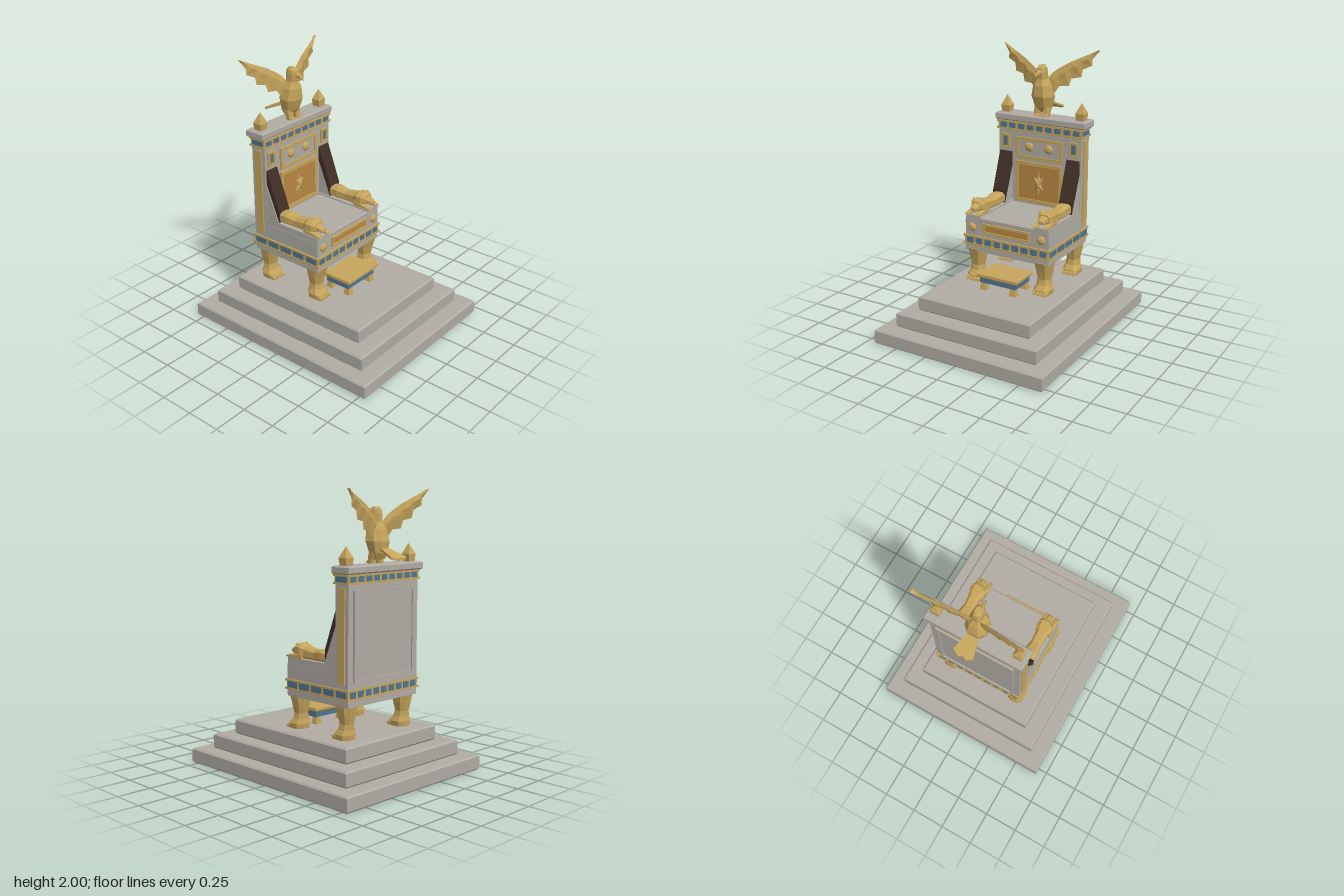
import * as THREE from 'three';

const mat = (name, color) => Object.assign(new THREE.MeshStandardMaterial({ color }), { name });

export function createModel() {
  const root = new THREE.Group();
  root.name = 'throne';
  const stone = mat('stone', 0xb0aca4), gold = mat('gold', 0xc6a55c), blue = mat('blue enamel', 0x4f7590),
    copper = mat('copper', 0xb98744), wood = mat('dark wood', 0x402f26);

  const add = (name, geo, material, parent = root) => {
    const m = new THREE.Mesh(geo, material);
    m.name = name;
    parent.add(m);
    return m;
  };
  const group = (name) => {
    const g = new THREE.Group();
    g.name = name;
    root.add(g);
    return g;
  };
  // Box given by its limits on each axis
  const box = (name, m, x0, x1, y0, y1, z0, z1, parent = root) => {
    const g = new THREE.BoxGeometry(x1 - x0, y1 - y0, z1 - z0);
    g.translate((x0 + x1) / 2, (y0 + y1) / 2, (z0 + z1) / 2);
    return add(name, g, m, parent);
  };
  // Closed faceted skin through rings of points; turned outward by its signed volume
  const loft = (rings) => {
    const n = rings[0].length, idx = [], pts = rings.flat().map((p) => new THREE.Vector3(...p));
    for (let i = 0; i < rings.length - 1; i++) for (let j = 0; j < n; j++) {
      const a = i * n + j, b = i * n + (j + 1) % n;
      idx.push([a, b + n, b], [a, a + n, b + n]);
    }
    const top = (rings.length - 1) * n;
    for (let j = 1; j < n - 1; j++) idx.push([0, j, j + 1], [top, top + j + 1, top + j]);
    let vol = 0;
    for (const [a, b, c] of idx) vol += pts[a].dot(new THREE.Vector3().crossVectors(pts[b], pts[c]));
    const g = new THREE.BufferGeometry().setFromPoints(pts);
    g.setIndex(idx.flatMap(([a, b, c]) => (vol < 0 ? [a, c, b] : [a, b, c])));
    const flat = g.toNonIndexed();
    flat.computeVertexNormals();
    return flat;
  };
  const rectY = (y, hx, hz, cx = 0, cz = 0) =>
    [[cx + hx, y, cz + hz], [cx - hx, y, cz + hz], [cx - hx, y, cz - hz], [cx + hx, y, cz - hz]];
  const octY = (y, hx, hz, cx = 0, cz = 0, k = 0.55) =>
    [[1, k], [k, 1], [-k, 1], [-1, k], [-1, -k], [-k, -1], [k, -1], [1, -k]].map(([a, b]) => [cx + a * hx, y, cz + b * hz]);
  const octZ = (z, hx, y0, y1, cx) => octY(0, hx, (y1 - y0) / 2, cx, (y0 + y1) / 2).map(([x, , y]) => [x, y, z]);
  // Slab with chamfered top and bottom edges
  const slab = (name, m, hx, hz, y0, y1, c, cz = 0, parent = root) =>
    add(name, loft([rectY(y0, hx - c, hz - c, 0, cz), rectY(y0 + c, hx, hz, 0, cz),
      rectY(y1 - c, hx, hz, 0, cz), rectY(y1, hx - c, hz - c, 0, cz)]), m, parent);
  // Framed panel facing +z
  const panel = (name, x0, x1, y0, y1, z, t, inner, rim = gold, d = 0.012) => {
    const g = group(name);
    box('panelFill', inner, x0 + t, x1 - t, y0 + t, y1 - t, z - 0.005, z + 0.003, g);
    box('panelBottom', rim, x0, x1, y0, y0 + t, z - 0.005, z + d, g);
    box('panelTop', rim, x0, x1, y1 - t, y1, z - 0.005, z + d, g);
    box('panelLeft', rim, x1 - t, x1, y0 + t, y1 - t, z - 0.005, z + d, g);
    box('panelRight', rim, x0, x0 + t, y0 + t, y1 - t, z - 0.005, z + d, g);
    return g;
  };
  const cone = (name, r, h, x, y, z, parent, sides = 5) => {
    const g = new THREE.ConeGeometry(r, h, sides).toNonIndexed();
    g.rotateX(Math.PI / 2 + 0.4);
    g.computeVertexNormals();
    g.translate(x, y, z);
    return add(name, g, gold, parent);
  };
  const dome = (x, y, z, r) => {
    const g = new THREE.SphereGeometry(r, 10, 4, 0, Math.PI * 2, 0, Math.PI / 2).toNonIndexed();
    g.rotateX(Math.PI / 2);
    g.scale(1, 1, 0.6);
    g.computeVertexNormals();
    g.translate(x, y, z);
    add('stud', g, gold);
  };

  // Stepped dais
  [[0.68, 0.8], [0.57, 0.685], [0.455, 0.57]].forEach(([hx, hz], i) =>
    slab('daisStep', stone, hx, hz, i * 0.11, (i + 1) * 0.11, 0.011));

  // Seat body, seat slab and backrest
  box('seatBase', stone, -0.345, 0.345, 0.56, 0.79, -0.48, 0.115);
  slab('seatSlab', stone, 0.228, 0.235, 0.785, 0.825, 0.008, -0.12);
  box('backrest', stone, -0.345, 0.345, 0.56, 1.45, -0.48, -0.36);
  slab('backrestCap', stone, 0.372, 0.078, 1.445, 1.5, 0.009, -0.428);

  // Enamel bands: gold core, rails, and thin blue plates on all four sides
  const band = (name, y0, y1, z0, z1, sideCount) => {
    const g = group(name), zc = (z0 + z1) / 2, zl = z1 - z0, r = 0.014;
    box('bandCore', gold, -0.349, 0.349, y0, y1, z0, z1, g);
    for (const y of [y0, y1 - r]) box('bandRail', gold, -0.357, 0.357, y, y + r, z0 - 0.008, z1 + 0.008, g);
    for (let i = 0; i < 9; i++) {
      const x = (i - 4) * 0.076;
      for (const z of [z0, z1]) box('bandPlate', blue, x - 0.026, x + 0.026, y0 + r, y1 - r, z - 0.004, z + 0.004, g);
    }
    const p = zl / sideCount;
    for (let i = 0; i < sideCount; i++) {
      const z = zc + (i - (sideCount - 1) / 2) * p;
      for (const x of [-0.349, 0.349]) box('bandPlate', blue, x - 0.004, x + 0.004, y0 + r, y1 - r, z - p / 2 + 0.012, z + p / 2 - 0.012, g);
    }
  };
  band('lowerBand', 0.608, 0.682, -0.482, 0.12, 5);
  band('upperBand', 1.378, 1.445, -0.483, -0.357, 1);

  // Front panels
  panel('upperPanel', -0.195, 0.195, 1.175, 1.335, -0.358, 0.022, stone);
  panel('starPanel', -0.197, 0.197, 0.835, 1.15, -0.358, 0.026, copper);
  panel('seatPanel', -0.195, 0.195, 0.712, 0.788, 0.116, 0.015, copper);
  for (const s of [-1, 1]) {
    panel('sidePanel', s * 0.285 - 0.037, s * 0.285 + 0.037, 1.235, 1.345, -0.358, 0.017, blue);
    dome(s * 0.082, 1.265, -0.356, 0.036);
    dome(s * 0.285, 0.745, 0.116, 0.033);
  }
  // Faceted star with a raised centre
  const rim = Array.from({ length: 12 }, (_, i) => {
    const a = i * Math.PI / 6, r = i % 2 ? 0.45 : 1;
    return [Math.sin(a) * r * 0.052, 0.988 + Math.cos(a) * r * 0.115];
  });
  add('star', loft([rim.map(([x, y]) => [x, y, -0.357]), rim.map(([x, y]) => [x * 0.05, 0.988 + (y - 0.988) * 0.05, -0.335])]), gold);

  // Rear panel, facing backwards
  const rear = panel('rearPanel', -0.3, 0.3, 0.72, 1.34, 0.483, 0.022, stone, stone, 0.013);
  rear.rotation.y = Math.PI;

  for (const s of [-1, 1]) {
    const X = s * 0.28;
    // Gold strip on the backrest edge
    const sx = [s * 0.34, s * 0.354].sort((a, b) => a - b);
    box('edgeStrip', gold, ...sx, 0.712, 1.355, -0.452, -0.39);

    // Arm, its sloping stone shoulder and the dark cover
    const prism = (name, m, x0, x1, yz) => add(name, loft([x0, x1].map((x) => yz.map(([z, y]) => [s * x, y, z]))), m);
    box('arm', stone, X - 0.062, X + 0.062, 0.68, 0.835, -0.365, 0.115);
    prism('armShoulder', stone, 0.23, 0.342, [[-0.25, 0.83], [-0.37, 0.83], [-0.37, 1.1], [-0.36, 1.1]]);
    prism('armCover', wood, 0.23, 0.335, [[-0.25, 0.83], [-0.25, 0.925], [-0.355, 1.21], [-0.37, 1.21], [-0.37, 1.1], [-0.36, 1.09]]);

    // Finial
    add('finial', loft([rectY(1.5, 0.03, 0.03, s * 0.31, -0.425), rectY(1.55, 0.035, 0.035, s * 0.31, -0.425),
      rectY(1.625, 0.001, 0.001, s * 0.31, -0.425)]), gold);

    // Crouching lion on the arm
    const lion = group('lionArmrest');
    add('lionBody', loft([[-0.255, 0.048, 0.832, 0.912], [-0.19, 0.05, 0.832, 0.92], [-0.12, 0.04, 0.832, 0.905],
      [-0.04, 0.044, 0.832, 0.918], [0.03, 0.05, 0.832, 0.925]].map(([z, w, a, b]) => octZ(z, w, a, b, X))), gold, lion);
    add('lionMane', loft([[-0.03, 0.045, 0.85, 0.918], [0.0, 0.06, 0.842, 0.935], [0.045, 0.058, 0.845, 0.935],
      [0.07, 0.042, 0.855, 0.92]].map(([z, w, a, b]) => octZ(z, w, a, b, X))), gold, lion);
    add('lionMuzzle', loft([[0.06, 0.036, 0.86, 0.915], [0.105, 0.026, 0.862, 0.9], [0.122, 0.017, 0.867, 0.89]]
      .map(([z, w, a, b]) => octZ(z, w, a, b, X))), gold, lion);
    for (const t of [-1, 1]) {
      cone('lionEar', 0.013, 0.03, X + t * 0.042, 0.927, 0.045, lion, 4);
      add('lionForeleg', loft([[-0.02, 0.016, 0.832, 0.872], [0.08, 0.018, 0.832, 0.862], [0.122, 0.016, 0.832, 0.85]]
        .map(([z, w, a, b]) => octZ(z, w, a, b, X + t * 0.043))), gold, lion);
      for (const k of [-1, 0, 1]) cone('lionClaw', 0.007, 0.035, X + t * 0.043 + k * 0.011, 0.842, 0.132, lion, 4);
    }

    // Beast legs with toes and claws
    for (const z of [0.05, -0.4]) {
      const leg = group(z > 0 ? 'frontLeg' : 'backLeg');
      add('legShaft', loft([[0.33, 0.06, 0.062, 0.012], [0.365, 0.065, 0.064, 0.01], [0.4, 0.05, 0.048, 0], [0.44, 0.044, 0.044, -0.004],
        [0.5, 0.055, 0.056, -0.004], [0.575, 0.066, 0.073, 0]].map(([y, hx, hz, c]) => octY(y, hx, hz, X, z + c))), gold, leg);
      for (let i = 0; i < 4; i++) {
        const x = X + (i - 1.5) * 0.029;
        add('toe', loft([octY(0.33, 0.014, 0.026, x, z + 0.06), octY(0.35, 0.014, 0.026, x, z + 0.06),
          octY(0.365, 0.008, 0.014, x, z + 0.054)]), gold, leg);
        cone('claw', 0.007, 0.035, x, 0.344, z + 0.092, leg, 4);
      }
    }
  }

  // Footstool
  const stool = group('footstool');
  slab('stoolTop', gold, 0.163, 0.117, 0.422, 0.455, 0.007, 0.133, stool);
  box('stoolApron', blue, -0.148, 0.148, 0.382, 0.422, 0.032, 0.234, stool);
  for (const x of [-0.122, 0.122]) for (const z of [0.055, 0.215])
    add('stoolLeg', loft([rectY(0.33, 0.027, 0.027, x, z), rectY(0.385, 0.018, 0.018, x, z)]), gold, stool);

  // Eagle on the cap
  const eagle = group('eagle');
  add('eagleBody', loft([[1.53, 0.04, 0.035, -0.43], [1.57, 0.06, 0.058, -0.425], [1.65, 0.078, 0.075, -0.415], [1.73, 0.062, 0.064, -0.405],
    [1.78, 0.036, 0.045, -0.4], [1.83, 0.035, 0.047, -0.395], [1.86, 0.03, 0.042, -0.395], [1.878, 0.018, 0.026, -0.4]]
    .map(([y, hx, hz, c]) => octY(y, hx, hz, 0, c, 0.5))), gold, eagle);
  add('eagleBeak', loft([octZ(-0.36, 0.018, 1.812, 1.85, 0), octZ(-0.32, 0.01, 1.81, 1.836, 0), octZ(-0.295, 0.002, 1.798, 1.806, 0)]), gold, eagle);
  const tail = [[-0.028, -0.44], [0.028, -0.44], [0.074, -0.605], [0.03, -0.632], [0, -0.618], [-0.03, -0.632], [-0.074, -0.605]];
  add('eagleTail', loft([0, 0.016].map((h) => tail.map(([x, z]) => [x, 1.605 + h + (z + 0.44) * 0.42, z]))), gold, eagle);
  for (const s of [-1, 1]) {
    add('eagleLeg', loft([octY(1.5, 0.022, 0.03, s * 0.036, -0.395), octY(1.525, 0.024, 0.026, s * 0.036, -0.4),
      octY(1.57, 0.03, 0.035, s * 0.034, -0.415)]), gold, eagle);
    for (const k of [-1, 0, 1]) cone('eagleTalon', 0.007, 0.04, s * 0.036 + k * 0.014, 1.512, -0.365, eagle, 4);
    // Each section: leading edge x, y; trailing edge x, y; the trailing edge steps out at each feather
    const sections = [[0.03, 1.78, 0.04, 1.66], [0.06, 1.82, 0.085, 1.68], [0.1, 1.85, 0.115, 1.725], [0.14, 1.875, 0.185, 1.73],
      [0.18, 1.9, 0.2, 1.785], [0.215, 1.915, 0.272, 1.8], [0.255, 1.935, 0.28, 1.855], [0.3, 1.955, 0.345, 1.885],
      [0.335, 1.972, 0.345, 1.93], [0.388, 1.998, 0.395, 1.992]];
    add('eagleWing', loft(sections.map(([lx, ly, tx, ty], i) => {
      const mx = lx * 0.65 + tx * 0.35, my = ly * 0.65 + ty * 0.35, h = i % 2 ? 0.014 : 0.009;
      const z = (x, y) => -0.425 - 0.2 * x - 0.08 * (y - 1.75);
      return [[s * lx, ly, z(lx, ly)], [s * mx, my, z(mx, my) + h], [s * tx, ty, z(tx, ty)], [s * mx, my, z(mx, my) - h]];
    })), gold, eagle);
  }
  return root;
}
